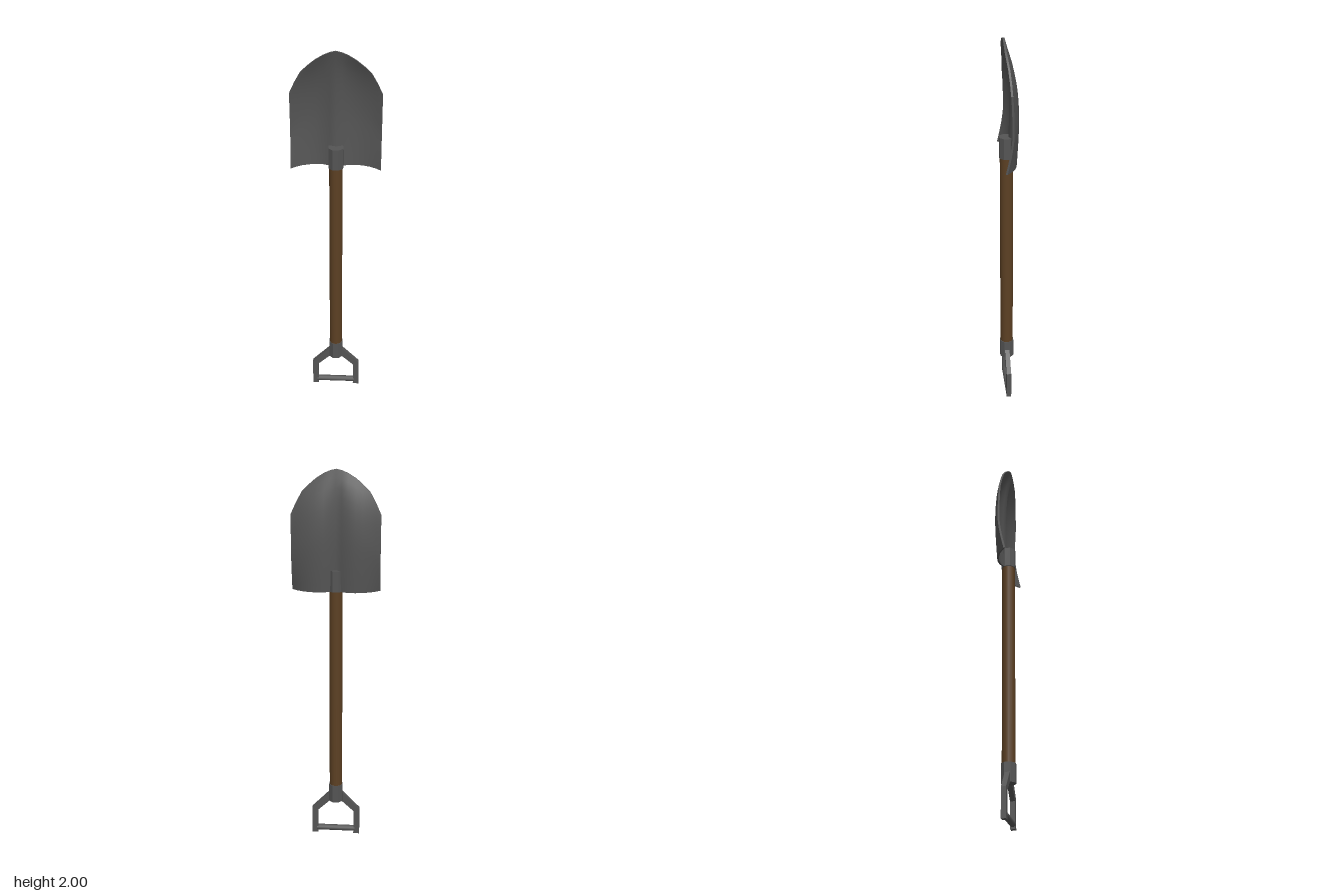
import * as THREE from 'three';

const steel = new THREE.MeshStandardMaterial({ color: 0x555555 });
const facetSteel = new THREE.MeshStandardMaterial({ color: 0x555555, flatShading: true });
const wood = new THREE.MeshStandardMaterial({ color: 0x5c4023 });
const AXIS_Z = 0.007; // depth of the shaft's centre line

function addMesh(parent, name, geometry, material) {
  const mesh = new THREE.Mesh(geometry, material);
  mesh.name = name;
  parent.add(mesh);
  return mesh;
}

// Upright cylinder on the shaft axis between two heights
function addRod(parent, name, rTop, rBottom, y0, y1, sides, material) {
  const geometry = new THREE.CylinderGeometry(rTop, rBottom, y1 - y0, sides);
  geometry.rotateY(Math.PI / sides);
  geometry.translate(0, (y0 + y1) / 2, AXIS_Z);
  return addMesh(parent, name, geometry, material);
}

// Blade half section: x, height of the upper edge, back depth, depth of the upper edge
const COLUMNS = [
  [0, 2.0, -0.018, 0.016],
  [0.03, 1.993, -0.029, 0.016],
  [0.06, 1.98, -0.043, 0.016],
  [0.1, 1.955, -0.046, 0.015],
  [0.135, 1.925, -0.042, 0.011],
  [0.17, 1.89, -0.034, 0.006],
  [0.2, 1.835, -0.022, 0.001],
  [0.225, 1.78, -0.009, -0.002],
];

// A thin box bent into the dished blade with a central rib
function bladeGeometry() {
  const n = COLUMNS.length - 1, base = 1.39, thickness = 0.01;
  const geometry = new THREE.BoxGeometry(2 * n, 1, 1, 2 * n, 14, 1);
  const p = geometry.attributes.position;
  for (let i = 0; i < p.count; i++) {
    const column = Math.round(p.getX(i));
    const v = p.getY(i) + 0.5;
    const [x, top, back, rim] = COLUMNS[Math.abs(column)];
    const curl = Math.pow(v, 4.5);
    const flare = Math.pow(Math.max(0, 1 - v / 0.5), 1.5);
    const z = THREE.MathUtils.lerp(back, rim, curl)
      + flare * (0.011 + 0.022 * Math.pow(x / 0.225, 4))
      + (p.getZ(i) > 0 ? thickness : 0);
    p.setXYZ(i, Math.sign(column) * x, base + v * (top - base), z);
  }
  geometry.computeVertexNormals();
  return geometry;
}

// Bent side bar of the grip
function gripArmGeometry(side) {
  const points = [
    [0.098, 0], [0.13, 0], [0.13, 0.152], [0.035, 0.25], [0.005, 0.25],
    [0.005, 0.225], [0.098, 0.138],
  ].map(([x, y]) => new THREE.Vector2(side * x, y));
  const geometry = new THREE.ExtrudeGeometry(new THREE.Shape(points), {
    depth: 0.025, bevelEnabled: false,
  });
  geometry.translate(0, 0, AXIS_Z - 0.0125);
  return geometry;
}

export function createModel() {
  const model = new THREE.Group();
  model.name = 'shovel';

  addMesh(model, 'blade', bladeGeometry(), steel);
  addRod(model, 'bladeSocket', 0.04, 0.04, 1.39, 1.5, 8, facetSteel);
  addRod(model, 'shaft', 0.034, 0.034, 0.25, 1.42, 16, wood);

  // Grip with its collar, two arms and a cross bar
  const grip = new THREE.Group();
  grip.name = 'grip';
  model.add(grip);
  addRod(grip, 'gripCollar', 0.039, 0.039, 0.2, 0.3, 8, facetSteel);
  for (const side of [1, -1]) {
    addMesh(grip, side > 0 ? 'leftGripArm' : 'rightGripArm', gripArmGeometry(side), facetSteel);
  }
  const bar = new THREE.CylinderGeometry(0.016, 0.016, 0.21, 12);
  bar.rotateZ(Math.PI / 2);
  bar.translate(0, 0.026, AXIS_Z);
  addMesh(grip, 'gripBar', bar, steel);

  return model;
}
